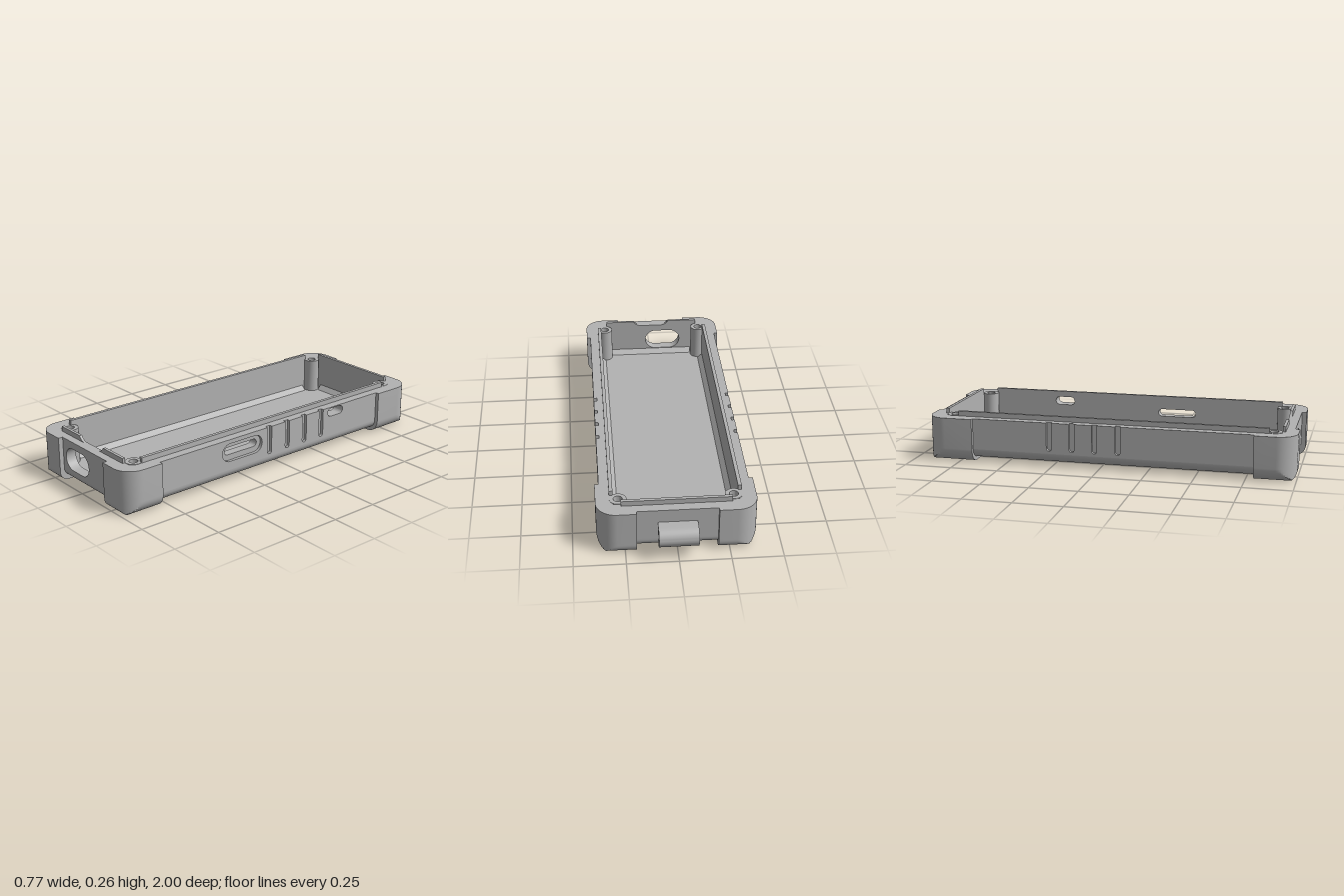
import * as THREE from 'three';
import { mergeGeometries, toCreasedNormals } from 'three/addons/utils/BufferGeometryUtils.js';

const TOP = 0.232, FLOOR = 0.05, JOIN = 0.07;   // rim, inner floor, start of the straight walls
const IN_X = 0.30, IN_F = 0.92, IN_B = -0.84;   // inner faces of the walls
const bosses = [[1, 0.88], [-1, 0.88], [1, -0.8], [-1, -0.8]].map(([s, z]) => [s * 0.277, z]);
const V = (x, y) => new THREE.Vector2(x, y);

const circle = (x, y, r, n = 24) =>
  Array.from({ length: n }, (_, i) => V(x + r * Math.cos(i / n * 2 * Math.PI), y + r * Math.sin(i / n * 2 * Math.PI)));

// Arc points from angle a to b (in quarter turns)
const arc = (x, y, r, a, b, n = 14) => Array.from({ length: n + 1 }, (_, i) => {
  const t = (a + (b - a) * i / n) * Math.PI / 2;
  return V(x + r * Math.cos(t), y + r * Math.sin(t));
});

// Rounded slot outline between u0..u1 and y0..y1
function slot(u0, u1, y0, y1) {
  const r = (y1 - y0) / 2, y = (y0 + y1) / 2;
  return new THREE.Path([...arc(u1 - r, y, r, -1, 1), ...arc(u0 + r, y, r, 1, 3)]);
}

// Skin between horizontal rings [x, z] at rising heights, with optional pierced caps
function loft(rings, ys, { bottom = false, top = false, holes = [] } = {}) {
  const pos = [], put = (p, y) => pos.push(p.x, y, p.y);
  const sign = Math.sign(THREE.ShapeUtils.area(rings[0]));
  const tri = (a, ya, b, yb, c, yc) => {
    put(a, ya);
    if (sign > 0) { put(c, yc); put(b, yb); } else { put(b, yb); put(c, yc); }
  };
  for (let k = 0; k + 1 < rings.length; k++) {
    const A = rings[k], B = rings[k + 1], n = A.length;
    for (let i = 0; i < n; i++) {
      const j = (i + 1) % n;
      tri(A[i], ys[k], A[j], ys[k], B[i], ys[k + 1]);
      tri(A[j], ys[k], B[j], ys[k + 1], B[i], ys[k + 1]);
    }
  }
  const cap = (ring, y, hs, flip) => {
    const all = [ring, ...hs].flat();
    for (const [a, b, c] of THREE.ShapeUtils.triangulateShape(ring.slice(), hs)) {
      for (const i of flip ? [a, c, b] : [a, b, c]) put(all[i], y);
    }
  };
  if (bottom) cap(rings[0], ys[0], holes, false);
  if (top) cap(rings.at(-1), ys.at(-1), [], true);
  const g = new THREE.BufferGeometry();
  g.setAttribute('position', new THREE.Float32BufferAttribute(pos, 3));
  return g;
}

// Heights and insets of a rounded lower edge; sides and ends have their own radius
function edgeLevels(y0, rSide, rEnd, yMax) {
  const inset = (r, h) => h >= r ? 0 : r - Math.sqrt(Math.max(0, r * r - (r - h) ** 2));
  return Array.from({ length: 11 }, (_, i) => {
    const h = (yMax - y0) * (1 - Math.cos(i / 10 * Math.PI / 2));
    return { y: y0 + h, ix: inset(rSide, h), iz: inset(rEnd, h) };
  });
}
const clampRing = (ring, x, z0, z1) =>
  ring.map(p => V(Math.max(-x, Math.min(x, p.x)), Math.max(z0, Math.min(z1, p.y))));

export function createModel() {
  const group = new THREE.Group();
  const grey = new THREE.MeshStandardMaterial({ color: 0xb2b2b2, side: THREE.DoubleSide });
  grey.name = 'plain grey';
  const add = (name, geo, x = 0, y = 0, z = 0) => {
    const m = new THREE.Mesh(geo, grey);
    m.name = name;
    m.position.set(x, y, z);
    group.add(m);
    return m;
  };
  const box = (name, x0, x1, y0, y1, z0, z1) => add(name,
    new THREE.BoxGeometry(x1 - x0, y1 - y0, z1 - z0), (x0 + x1) / 2, (y0 + y1) / 2, (z0 + z1) / 2);
  const smooth = g => toCreasedNormals(g, 0.4);
  const extrude = (shape, depth) =>
    smooth(new THREE.ExtrudeGeometry(shape, { depth, bevelEnabled: false, curveSegments: 20 }));
  // Profile in (-z, y), extruded along x
  const sideways = (name, shape, x0, x1) => add(name, extrude(shape, x1 - x0).rotateY(Math.PI / 2), x0);

  // Underside with rounded lower edges
  const zf = 0.976, zb = -0.905, hx = 0.365, r = 0.08;
  const outline = [
    ...arc(hx - r, zf - r, r, 0, 1), ...arc(r - hx, zf - r, r, 1, 2),
    ...arc(r - hx, zb + r, r, 2, 3), ...arc(hx - r, zb + r, r, 3, 4)];
  const levels = edgeLevels(0.022, 0.048, 0.04, JOIN);
  add('underside', smooth(loft(
    levels.map(l => clampRing(outline, hx - l.ix, zb + l.iz, zf - l.iz)), levels.map(l => l.y),
    { bottom: true, holes: bosses.map(([x, z]) => circle(x, z, 0.04)) })));

  // Inner floor
  const floor = new THREE.Shape([V(-0.305, -0.925), V(0.305, -0.925), V(0.305, 0.845), V(-0.305, 0.845)]);
  floor.holes = bosses.map(([x, z]) => new THREE.Path(circle(x, -z, 0.026)));
  add('innerFloor', new THREE.ShapeGeometry(floor).rotateX(-Math.PI / 2), 0, FLOOR);

  // Side walls: pierced inner layer, and outer layer with grip grooves
  const u0 = -0.89, u1 = 0.82, layer = 0.348;
  for (const s of [1, -1]) {
    const inner = new THREE.Shape([V(u0, JOIN), V(u1, JOIN), V(u1, TOP), V(u0, TOP)]);
    const pts = [V(u0, JOIN), V(u1, JOIN), V(u1, TOP)];
    for (const u of [0.262, 0.142, 0.022, -0.1]) {
      pts.push(V(u + 0.014, TOP), ...arc(u, 0.098, 0.014, 0, -2, 8), V(u - 0.014, TOP));
    }
    const outer = new THREE.Shape([...pts, V(u0, TOP)]);
    if (s > 0) {
      inner.holes = [slot(-0.385, -0.175, 0.145, 0.185), slot(0.31, 0.42, 0.181, 0.226)];
      outer.holes = [slot(-0.41, -0.15, 0.115, 0.21), slot(0.31, 0.42, 0.181, 0.226)];
    }
    const side = s > 0 ? 'left' : 'right';
    sideways(side + 'WallInner', inner, ...(s > 0 ? [IN_X, layer] : [-layer, -IN_X]));
    sideways(side + 'WallGrip', outer, ...(s > 0 ? [layer, hx] : [-hx, -layer]));
    box(side + 'Lip', s * 0.309 - 0.009, s * 0.309 + 0.009, TOP, 0.258, -0.77, 0.86);
  }

  // End walls, the front one with its port opening
  const front = new THREE.Shape([V(-IN_X, JOIN), V(IN_X, JOIN), V(IN_X, TOP), V(-IN_X, TOP)]);
  front.holes = [slot(-0.17, 0.033, 0.078, 0.195)];
  add('frontWall', extrude(front, zf - IN_F), 0, 0, IN_F);
  box('backWall', -IN_X, IN_X, JOIN, TOP, zb, IN_B);
  box('backLip', -0.265, 0.265, TOP, 0.258, -0.857, IN_B);
  for (const s of [1, -1]) {
    const lip = new THREE.Shape([[0.265, TOP], [0.265, 0.258], [0.103, 0.258], [0.095, 0.247], [0.082, 0.237], [0.065, TOP]]
      .map(([x, y]) => V(s * x, y)));
    add('frontLip', extrude(lip, 0.015), 0, 0, IN_F);
  }

  // Sloped strips where the floor meets the walls
  const c = 0.025;
  for (const s of [1, -1]) {
    const strip = (w) => new THREE.Shape([V(s * w, FLOOR), V(s * w, FLOOR + c), V(s * (w - c), FLOOR)]);
    add('floorStrip', extrude(strip(IN_X), 1.58), 0, 0, -0.75);
    const wall = s > 0 ? IN_B : IN_F;
    const end = new THREE.Shape([V(-wall, FLOOR), V(-wall, FLOOR + c), V(-wall - s * c, FLOOR)]);
    sideways('floorStrip', end, -0.235, 0.235);
  }

  // Corner guards with feet
  const guards = [
    { name: 'front', s: 1, end: 1, near: 0.79, wall: IN_F },
    { name: 'back', s: -1, end: 0.925, near: 0.675, wall: -IN_B }];
  for (const { name, s, end, near, wall } of guards) for (const sx of [1, -1]) {
    const X = 0.385, x0 = 0.195, R = 0.1, f = 0.03;
    const curve = [V(x0, end), ...arc(X - R, end - R, R, 1, 0, 16), V(X, near), V(IN_X, near)];
    const pad = [...curve, ...arc(x0 + f, near + f, f, 3, 2, 6), V(x0, wall)];
    const elbow = [...curve, ...Array.from({ length: 7 }, () => V(IN_X, wall)), V(x0, wall)];
    const ring = (base, l) => clampRing(base, X - l.ix, 0, end - l.iz).map(p => V(sx * p.x, s * p.y));
    const lv = edgeLevels(0, 0.07, 0.045, 0.07);
    const split = lv.findIndex(l => l.y > 0.045);
    const low = lv.slice(0, split), high = [...lv.slice(split - 1), { y: TOP, ix: 0, iz: 0 }];
    const hole = bosses.find(([x, z]) => x * sx > 0 && z * s > 0);
    const foot = loft(low.map(l => ring(pad, l)), low.map(l => l.y),
      { bottom: true, holes: [circle(...hole, 0.04)] });
    const guard = loft(high.map(l => ring(elbow, l)), high.map(l => l.y), { top: true });
    add(name + 'CornerGuard', smooth(mergeGeometries([foot, guard])));
  }

  // Screw posts, bored through to a wider recess under each foot
  const post = [[0.04, 0], [0.04, 0.038], [0.022, 0.038], [0.022, TOP + 0.002], [0.042, TOP + 0.002], [0.042, 0.046]];
  const postGeo = smooth(new THREE.LatheGeometry(post.map(p => V(...p)), 24));
  for (const [x, z] of bosses) add('screwPost', postGeo, x, 0, z);

  // Rails under the body
  const rail = new THREE.CapsuleGeometry(0.022, 1.176, 6, 16).rotateX(Math.PI / 2);
  for (const s of [1, -1]) add('bottomRail', rail, s * 0.19, 0.022, 0.04);

  // Strap loop at the back
  const loop = new THREE.Shape([V(0.895, 0.04), V(0.93, 0.064), ...arc(0.95, 0.114, 0.05, -1, 1, 20), V(0.895, 0.164)]);
  loop.holes = [new THREE.Path(circle(0.95, 0.114, 0.028))];
  sideways('strapLoop', loop, -0.095, 0.095);

  return group;
}
